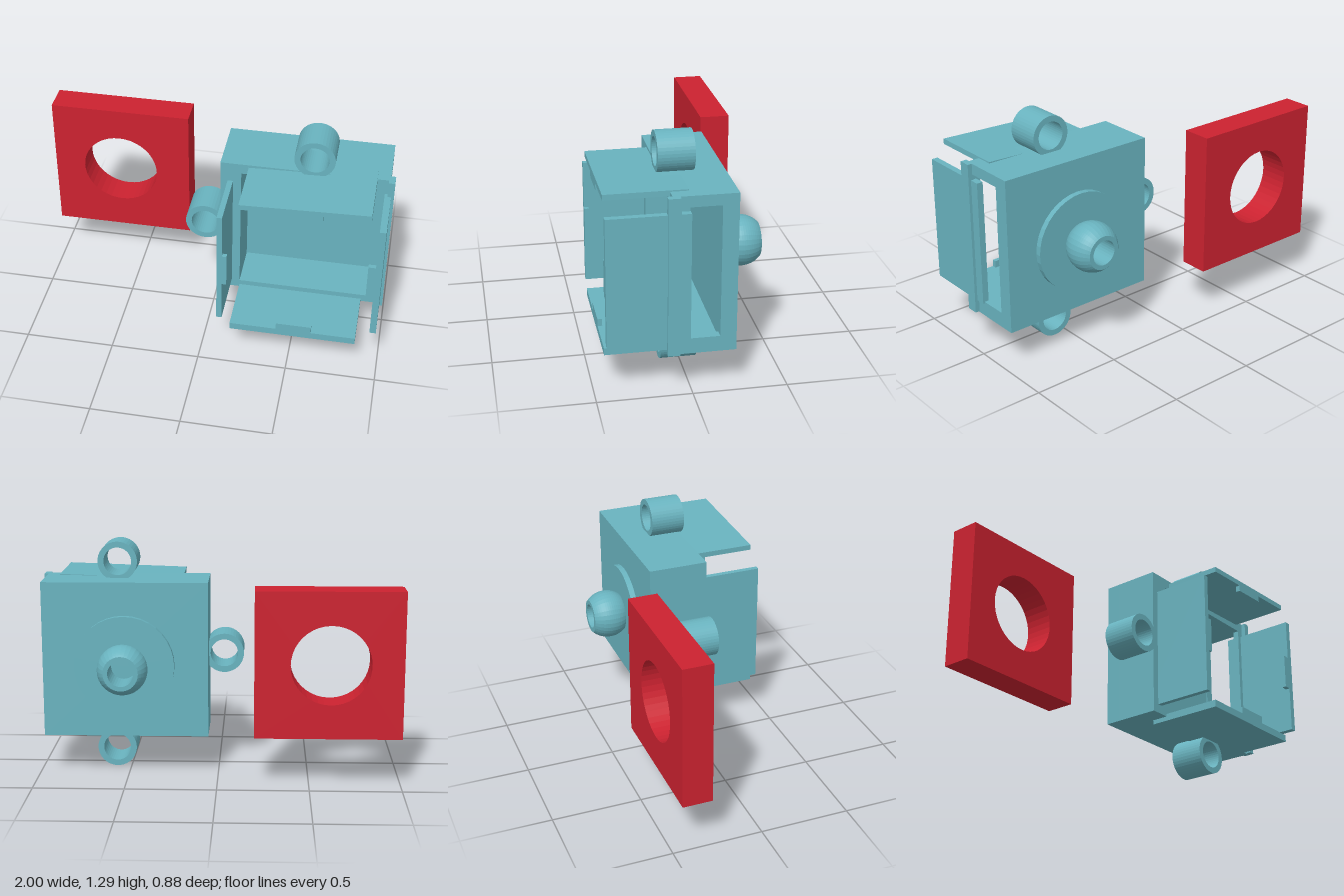
import * as THREE from 'three';

const teal = new THREE.MeshStandardMaterial({ color: 0x69b3bf, flatShading: true });
const red = new THREE.MeshStandardMaterial({ color: 0xcc2230, flatShading: true });

export function createModel() {
  const model = new THREE.Group();

  function add(name, geometry, material = teal, parent = model) {
    const mesh = new THREE.Mesh(geometry, material);
    mesh.name = name;
    parent.add(mesh);
    return mesh;
  }

  // Box given by its min and max on each axis
  function box(name, x0, x1, y0, y1, z0, z1, parent) {
    const mesh = add(name, new THREE.BoxGeometry(x1 - x0, y1 - y0, z1 - z0), teal, parent);
    mesh.position.set((x0 + x1) / 2, (y0 + y1) / 2, (z0 + z1) / 2);
    return mesh;
  }

  // Rectangle with an optional hole, extruded along z
  function rect(x0, x1, y0, y1) {
    return [[x0, y0], [x1, y0], [x1, y1], [x0, y1]].map(p => new THREE.Vector2(...p));
  }
  function extrude(shape, depth, curveSegments = 12) {
    return new THREE.ExtrudeGeometry(shape, { depth, bevelEnabled: false, curveSegments });
  }

  // Separate square plate with a round hole
  const plate = new THREE.Shape(rect(-1, -0.2, 0.28, 1.085));
  plate.holes.push(new THREE.Path().absarc(-0.61, 0.685, 0.217, 0, Math.PI * 2, true));
  add('holedPlate', extrude(plate, 0.165, 20), red).position.z = -0.445;

  // Housing: back, three solid walls and a windowed right... left-hand wall at +x
  const housing = new THREE.Group();
  housing.name = 'housing';
  model.add(housing);
  box('backWall', 0.055, 0.97, 0.225, 1.09, -0.23, -0.15, housing);
  box('solidSideWall', 0.055, 0.17, 0.225, 1.09, -0.15, 0.105, housing);
  box('floor', 0.17, 0.92, 0.225, 0.27, -0.15, 0.105, housing);
  box('ceiling', 0.17, 0.92, 1.03, 1.09, -0.15, 0.105, housing);
  const wall = new THREE.Shape(rect(-0.105, 0.15, 0.225, 1.09));
  wall.holes.push(new THREE.Path(rect(-0.07, 0.145, 0.31, 1.03)));
  const windowWall = add('windowWall', extrude(wall, 0.05), teal, housing);
  windowWall.rotation.y = Math.PI / 2;
  windowWall.position.x = 0.92;
  box('cornerStrip', 0.96, 0.995, 0.23, 1.09, 0.065, 0.13, housing);

  // Four open flaps, each with a small latch on its front edge
  function flap(name, panel, latch) {
    const group = new THREE.Group();
    group.name = name;
    model.add(group);
    box(name + 'Panel', ...panel, 0.01, 0.44, group);
    box(name + 'Latch', ...latch, 0.415, 0.44, group);
    return group;
  }
  flap('rightFlap', [0.095, 0.125, 0.275, 0.975], [0.12, 0.15, 0.52, 0.715]);
  flap('leftFlap', [0.945, 0.98, 0.3, 1.0], [0.905, 0.947, 0.56, 0.76]);
  flap('bottomFlap', [0.17, 0.87, 0.2, 0.24], [0.43, 0.625, 0.235, 0.28]);
  const top = flap('topFlap', [-0.345, 0.345, -0.015, 0.015], [-0.105, 0.095, -0.05, -0.01]);
  top.position.set(0.555, 1.071, 0);
  top.rotation.z = 0.033;

  // Round sleeves on the top, bottom and outer side
  function sleeve(name, x, y, z0, z1) {
    const ring = new THREE.Shape().absarc(0, 0, 0.11, 0, Math.PI * 2, false);
    ring.holes.push(new THREE.Path().absarc(0, 0, 0.077, 0, Math.PI * 2, true));
    add(name, extrude(ring, z1 - z0, 20)).position.set(x, y, z0);
  }
  sleeve('topSleeve', 0.565, 1.182, -0.07, 0.125);
  sleeve('bottomSleeve', 0.58, 0.115, -0.085, 0.11);
  sleeve('sideSleeve', -0.03, 0.67, -0.085, 0.105);

  // Round base disc on the back
  const disc = add('backDisc', new THREE.CylinderGeometry(0.277, 0.277, 0.035, 36));
  disc.rotation.x = Math.PI / 2;
  disc.position.set(0.517, 0.63, -0.2445);

  // Truncated ball with a bore, turned so its axis points backwards
  const profile = [];
  const start = Math.asin(0.085 / 0.138), end = Math.asin(0.1 / 0.138);
  for (let i = 0; i <= 16; i++) {
    const a = -start + (start + end) * i / 16;
    profile.push(new THREE.Vector2(0.138 * Math.cos(a), 0.138 * Math.sin(a)));
  }
  profile.push(new THREE.Vector2(0.07, 0.1), new THREE.Vector2(0.07, -0.083), new THREE.Vector2(0, -0.083));
  const ball = add('boredBall', new THREE.LatheGeometry(profile, 32));
  ball.rotation.x = -Math.PI / 2;
  ball.position.set(0.517, 0.63, -0.345);

  return model;
}
